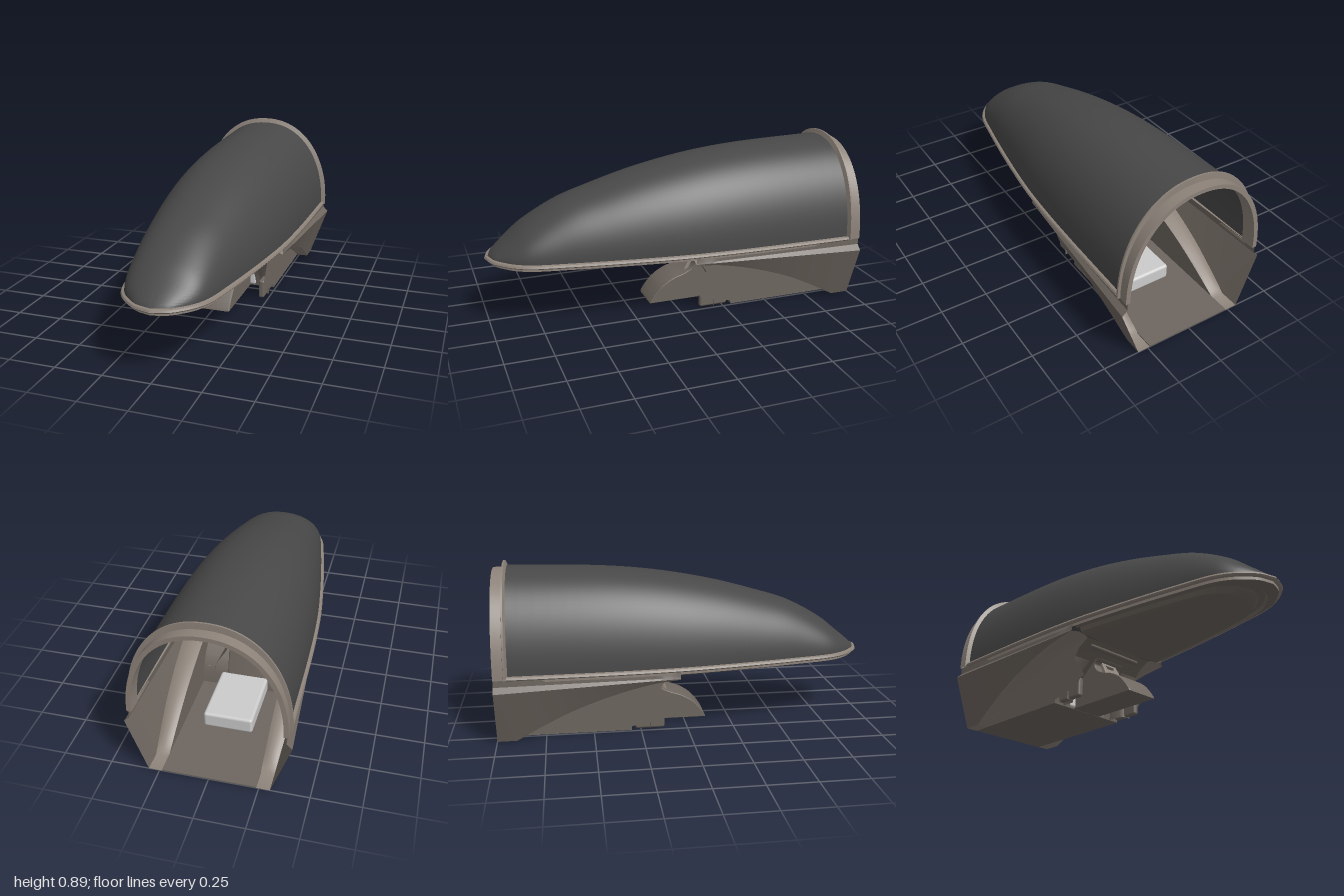
import * as THREE from 'three';
import { toCreasedNormals } from 'three/addons/utils/BufferGeometryUtils.js';
import { RoundedBoxGeometry } from 'three/addons/geometries/RoundedBoxGeometry.js';

const SILL = 0.36;
const glassMat = new THREE.MeshStandardMaterial({ color: 0x484848, side: THREE.DoubleSide });
const frameMat = new THREE.MeshStandardMaterial({ color: 0x8c8279, side: THREE.DoubleSide });
const bodyMat = new THREE.MeshStandardMaterial({ color: 0x6e665f, side: THREE.DoubleSide });
const cushionMat = new THREE.MeshStandardMaterial({ color: 0xcccccc });

const V = (x, y, z) => new THREE.Vector3(x, y, z);

// Skin a list of equal-length sections (arrays of Vector3)
function loft(sections, crease = 0.6) {
  const n = sections[0].length, pos = [], idx = [];
  sections.forEach(s => s.forEach(p => pos.push(p.x, p.y, p.z)));
  for (let i = 0; i < sections.length - 1; i++)
    for (let j = 0; j < n - 1; j++) {
      const a = i * n + j, b = a + n;
      idx.push(a, b, a + 1, b, b + 1, a + 1);
    }
  const g = new THREE.BufferGeometry();
  g.setAttribute('position', new THREE.Float32BufferAttribute(pos, 3));
  g.setIndex(idx);
  return toCreasedNormals(g, crease);
}

// Outline drawn in (z, y), turned to lie in the side plane
const sideShape = pts => new THREE.Shape(pts.map(p => new THREE.Vector2(p[0], p[1])));

// Rounded arch over the sill: half width w, top height h
function arch(w, h, z, n = 48, base = SILL) {
  const e = 2 / 2.2, pts = [];
  for (let i = 0; i <= n; i++) {
    const a = Math.PI * i / n, c = Math.cos(a), s = Math.max(0, Math.sin(a));
    pts.push(V(w * Math.sign(c) * Math.abs(c) ** e, base + (h - base) * s ** e, z));
  }
  return pts;
}

// Canopy growth from nose to tail: half width, top height, z
const spine = new THREE.CatmullRomCurve3([
  [0, 0.36, 0.985], [0.08, 0.39, 0.96], [0.13, 0.425, 0.92], [0.175, 0.465, 0.87],
  [0.215, 0.53, 0.79], [0.255, 0.635, 0.6], [0.29, 0.70, 0.4], [0.32, 0.755, 0.2],
  [0.345, 0.797, 0], [0.36, 0.828, -0.2], [0.37, 0.85, -0.45], [0.378, 0.865, -0.94],
].map(p => V(...p)));

// U-shaped plan of the sill, pushed outward by off
function outline(off, n = 70) {
  const half = [];
  for (let i = 0; i <= n; i++) half.push(spine.getPoint(i / n));
  const all = [...half.slice(1).reverse().map(p => V(-p.x, 0, p.z)), ...half.map(p => V(p.x, 0, p.z))];
  return all.map((p, i) => {
    const t = all[Math.min(i + 1, all.length - 1)].clone().sub(all[Math.max(i - 1, 0)]).normalize();
    return V(p.x - t.z * off, 0, p.z + t.x * off);
  });
}
const atHeight = (pts, y) => pts.map(p => V(p.x, y, p.z));

export function createModel() {
  const model = new THREE.Group();
  const add = (name, geo, mat, x = 0, y = 0, z = 0) => {
    const m = new THREE.Mesh(geo, mat);
    m.name = name;
    m.position.set(x, y, z);
    model.add(m);
    return m;
  };

  // Canopy shell, open at the back
  const rows = [];
  for (let i = 0; i <= 70; i++) {
    const p = spine.getPoint(i / 70);
    rows.push(arch(p.x, p.y, p.z));
  }
  add('canopyShell', loft(rows, 1.2), glassMat);

  // Sill rim running around the nose
  const rim = [[0, 0.372], [0.012, 0.368], [0.017, 0.358], [0.012, 0.352], [-0.004, 0.35], [-0.004, 0.335]];
  add('sillRim', loft(rim.map(([o, y]) => atHeight(outline(o), y))), frameMat);

  // Rear arch: raised flange, then a strip to the tail
  const archRows = [[0.376, 0.862, -0.925], [0.40, 0.888, -0.937], [0.40, 0.888, -0.946], [0.386, 0.855, -0.948],
    [0.39, 0.853, -1], [0.366, 0.832, -1], [0.362, 0.832, -0.925]];
  add('rearArch', loft(archRows.map(r => arch(...r, 48, 0.355))), frameMat);

  // Underside of the nose: grooved pan
  const plan = outline(-0.004).filter(p => p.z > -0.06);
  const panRows = [[1, 0.338], [0.94, 0.328], [0.925, 0.345], [0.89, 0.345], [0.86, 0.318], [0.82, 0.311], [0, 0.31]];
  add('nosePan', loft(panRows.map(([k, y]) =>
    plan.map(p => V(p.x * k, y, -0.06 + (p.z + 0.06) * k)))), bodyMat);

  // Scoop line falling from the sill to the floor, as (0, y, z)
  const scoop = new THREE.CatmullRomCurve3([
    V(0, 0.308, -0.05), V(0, 0.288, -0.2), V(0, 0.235, -0.4),
    V(0, 0.16, -0.6), V(0, 0.085, -0.75), V(0, 0, -0.9)]).getPoints(28);
  const wallPts = [...scoop.map(p => [p.z, p.y]),
    [-0.3, 0], [-0.3, 0.02], [-0.13, 0.055], [-0.1, 0.09], [-0.07, 0.1], [-0.11, 0.16], [-0.15, 0.215], [-0.12, 0.265]];

  for (const s of [1, -1]) {
    // Flared outer panel, from sill to scoop line
    const flare = [...scoop, V(0, 0, -1)].map(p => {
      const t = Math.min(1, (-p.z - 0.05) / 0.95), k = p.y / 0.3;
      const top = V(0.352 + 0.056 * t, 0.312 - 0.022 * t, p.z);
      const low = V(0.295 + 0.055 * k + 0.01 * t, p.y, p.z);
      return [V(0.345 + 0.035 * t, 0.355, p.z), V(0.35 + 0.03 * t, 0.318, p.z), top,
        top.clone().lerp(low, 0.5), low].map(q => V(s * q.x, q.y, q.z));
    });
    add('flaredPanel', loft(flare, 0.4), bodyMat);

    // Rounded roof of the scoop, a raised arm inside the cockpit
    const roof = [...scoop, V(0, 0, -1)].map((p, i) => {
      const outer = 0.295 + 0.055 * p.y / 0.3 + 0.01 * Math.min(1, (-p.z - 0.05) / 0.95);
      const bump = i < 28 ? 0.014 * Math.min(1, p.y / 0.05) : 0;
      return [0, 0.15, 0.5, 0.85, 1].map(k =>
        V(s * (outer + (0.236 - outer) * k), p.y + bump * Math.sin(Math.PI * k), p.z));
    });
    add('scoopRoof', loft(roof, 1), frameMat);

    // Inner wall of the cockpit tub
    add('tubWall', new THREE.ShapeGeometry(sideShape(wallPts)).rotateY(-Math.PI / 2), bodyMat, s * 0.236);

    // Upright bracket beside the tub front
    add('bracket', new RoundedBoxGeometry(0.034, 0.105, 0.16, 2, 0.012), bodyMat, s * 0.21, 0.054, -0.2);

    // Curved cheek between the wall and the pedestal
    const cheek = [];
    for (let i = 0; i <= 14; i++) {
      const y = 0.24 * (1 - i / 14), k = Math.sin(Math.PI * Math.min(1, (0.24 - y) / 0.18) / 2);
      const inner = 0.10 + 0.075 * k;
      cheek.push([V(s * 0.236, y, -0.15 - 0.05 * k), V(s * (inner + 0.02), y, -0.15 - 0.05 * k),
        V(s * inner, y, -0.17 - 0.05 * k), V(s * inner, y, -0.3)]);
    }
    add('cheek', loft(cheek, 0.8), bodyMat);
  }

  // Front bulkhead of the tub
  const bulk = [[-0.05, 0.31], [-0.11, 0.275], [-0.145, 0.24], [-0.17, 0.22], [-0.24, 0.16], [-0.29, 0.08], [-0.3, 0]];
  add('bulkhead', loft(bulk.map(([z, y]) => [V(-0.236, y, z), V(0.236, y, z)]), 0.9), bodyMat);
  add('crossBar', new RoundedBoxGeometry(0.36, 0.035, 0.05, 2, 0.012), bodyMat, 0, 0.297, -0.1);

  // Floor
  add('floor', new THREE.BoxGeometry(0.474, 0.006, 0.7), bodyMat, 0, 0.003, -0.65);

  // Hooked centre pedestal
  const hook = sideShape([[0.12, 0.004], [0.115, 0.015]]);
  hook.splineThru([[0.09, 0.05], [0.05, 0.093], [-0.01, 0.13], [-0.08, 0.155], [-0.125, 0.18], [-0.145, 0.22], [-0.12, 0.25]]
    .map(p => new THREE.Vector2(...p)));
  hook.lineTo(-0.25, 0.25);
  hook.lineTo(-0.32, 0.004);
  const hookGeo = new THREE.ExtrudeGeometry(hook, {
    depth: 0.17, bevelSize: 0.004, bevelThickness: 0.01, bevelSegments: 2, curveSegments: 24 });
  hookGeo.translate(0, 0, -0.085).rotateY(-Math.PI / 2);
  add('pedestal', toCreasedNormals(hookGeo, 0.6), bodyMat);

  // Socket frame on the pedestal face
  const box = (w0, w1, y0, y1, P) => new P([[-w0, y0], [w0, y0], [w1, y1], [-w1, y1]].map(p => new THREE.Vector2(...p)));
  const plate = box(0.06, 0.048, -0.065, 0.065, THREE.Shape);
  plate.holes.push(box(0.028, 0.036, 0.015, 0.045, THREE.Path));
  const socket = add('socketFrame', new THREE.ExtrudeGeometry(plate, {
    depth: 0.012, bevelSize: 0.004, bevelThickness: 0.004, bevelSegments: 2 }), frameMat, 0, 0.18, -0.115);
  socket.rotation.x = -0.5;

  // Seat cushion
  add('cushion', new RoundedBoxGeometry(0.26, 0.085, 0.36, 3, 0.015), cushionMat, 0, 0.048, -0.47);

  return model;
}
